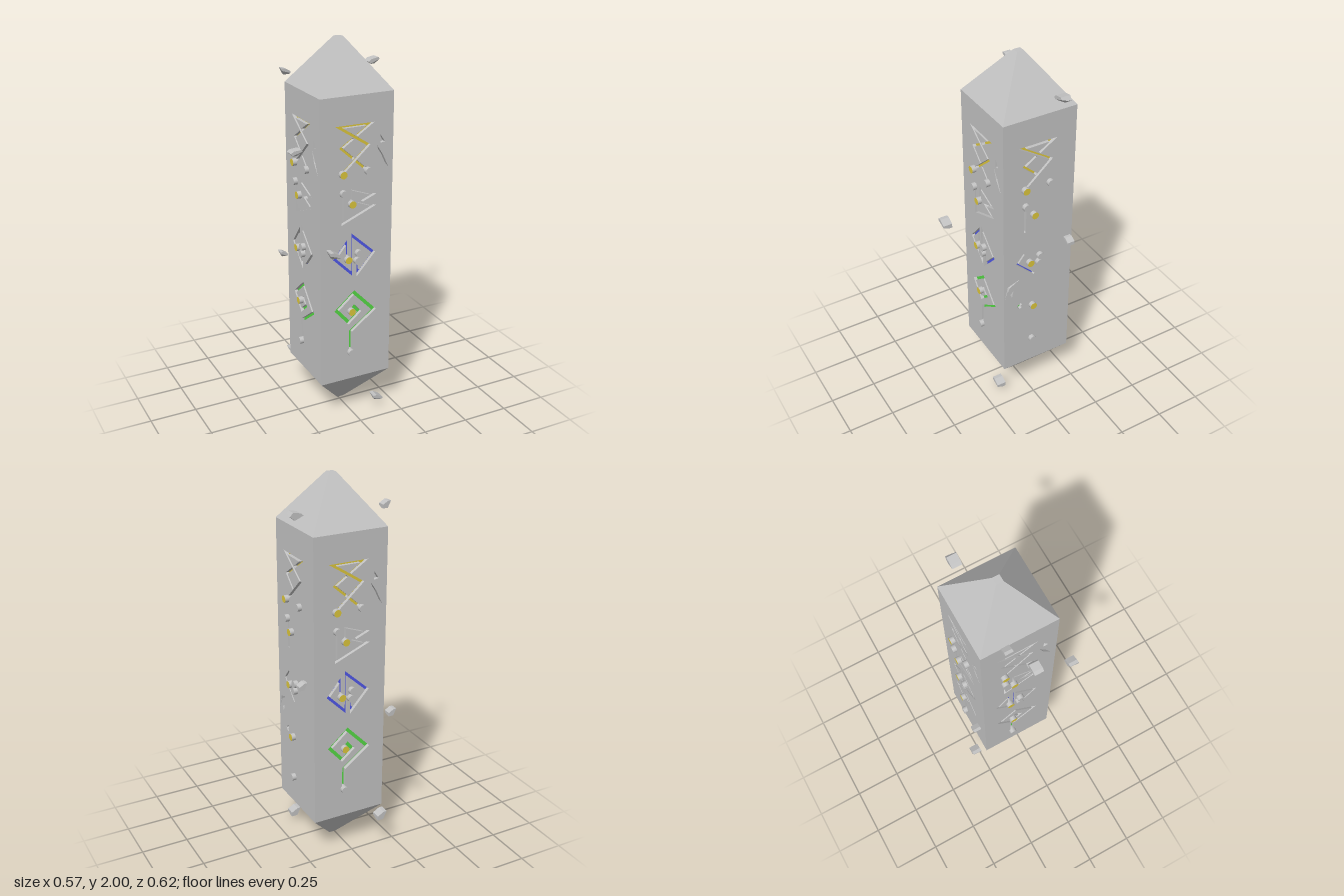
import * as THREE from 'three';
import { ConvexGeometry } from 'three/addons/geometries/ConvexGeometry.js';

const HALF = 0.2, DEPTH = 0.02, BOTTOM = 0.22, TOP = 1.755, CX = 0.012, CZ = -0.035;

const flat = (name, color) => {
  const m = new THREE.MeshStandardMaterial({ color });
  m.name = name;
  return m;
};

// Glyph strokes as open centre lines (x, y)
const zigzag = [
  [[-0.07, 1.37], [0.075, 1.5], [-0.085, 1.605], [0.085, 1.605], [0.0097, 1.5555]],
  [[-0.0097, 1.5427], [-0.075, 1.5], [-0.0067, 1.4388]],
];
const zigzagLeg = [[0.0067, 1.4268], [0.07, 1.37]];
const flag = [[-0.066, 1.27], [-0.066, 1.11], [0.105, 1.18], [0.03, 1.21], [0.105, 1.24], [-0.018, 1.285], [-0.018, 1.21]];
const diamond = [[-0.04, 0.915], [-0.04, 1.01], [-0.11, 0.925], [-0.01, 0.825], [-0.01, 1.035], [0.11, 0.925], [0.02, 0.825], [0.02, 0.94]];
const spiral = [[-0.02, 0.38], [-0.02, 0.5], [0.115, 0.6], [0, 0.72], [-0.1, 0.635], [-0.03, 0.555], [0.03, 0.605], [0, 0.64], [-0.02, 0.62]];

// Widens a centre line into a mitred outline
function stroke(points, halfWidth) {
  const p = points.map(([x, y]) => new THREE.Vector2(x - CX, y));
  const left = [], right = [];
  p.forEach((q, i) => {
    const before = (i ? q.clone().sub(p[i - 1]) : p[1].clone().sub(q)).normalize();
    const after = (i < p.length - 1 ? p[i + 1].clone().sub(q) : before.clone()).normalize();
    const n1 = new THREE.Vector2(-before.y, before.x);
    const n2 = new THREE.Vector2(-after.y, after.x);
    const miter = n1.clone().add(n2).normalize();
    miter.multiplyScalar(halfWidth / miter.dot(n1));
    left.push(q.clone().add(miter));
    right.push(q.clone().sub(miter));
  });
  return left.concat(right.reverse());
}

export function createModel() {
  const stone = flat('stone grey', 0xc2c2c2);
  const yellow = flat('yellow', 0xdcc63c);
  const blue = flat('blue', 0x5058e8);
  const green = flat('green', 0x55d845);

  const model = new THREE.Group();
  const pillar = new THREE.Group();
  pillar.name = 'pillar';
  pillar.position.set(CX, 0, CZ);
  model.add(pillar);

  const add = (parent, name, geometry, material) => {
    const mesh = new THREE.Mesh(geometry, material);
    mesh.name = name;
    parent.add(mesh);
    return mesh;
  };

  // Inner core forms the floor of every groove
  const inner = 2 * (HALF - DEPTH);
  add(pillar, 'core', new THREE.BoxGeometry(inner, TOP - BOTTOM, inner), stone).position.y = (TOP + BOTTOM) / 2;

  // Pointed ends
  const frustum = (name, topHalf, bottomHalf, y0, y1) => {
    const r = Math.SQRT2;
    const g = new THREE.CylinderGeometry(topHalf * r, bottomHalf * r, y1 - y0, 4).toNonIndexed();
    g.rotateY(Math.PI / 4);
    g.computeVertexNormals();
    add(pillar, name, g, stone).position.y = (y0 + y1) / 2;
  };
  frustum('topPoint', 0.018, HALF, TOP, 2);
  frustum('bottomPoint', HALF, 0.018, 0, BOTTOM);

  // Carved grooves: [centre line, floor colour, half width]
  const fullCarving = [
    ...zigzag.map((l) => [l, yellow, 0.0065]),
    [zigzagLeg, yellow, 0.0065],
    [flag, stone, 0.006],
    [diamond, blue, 0.007],
    [spiral, green, 0.009],
  ];
  const wornCarving = [
    ...zigzag.map((l) => [l, yellow, 0.0065]),
    [flag.slice(0, 2), stone, 0.006],
    [[[-0.07, 0.975], [-0.11, 0.925], [-0.01, 0.825]], blue, 0.005],
    [[[-0.085, 0.65], [-0.1, 0.635], [-0.088, 0.621]], green, 0.008],
  ];
  // Cracks in the stone
  const fullCracks = [
    [[0.122, 1.49], [0.155, 1.44], [0.188, 1.37], [0.142, 1.43]],
    [[0.14, 1.545], [0.165, 1.505], [0.14, 1.5]],
  ];
  const wornCracks = [
    [[-0.183, 0.716], [-0.165, 0.795], [-0.093, 0.82], [-0.155, 0.785]],
    [[-0.166, 0.77], [-0.132, 0.755], [-0.14, 0.715]],
  ];

  // Studs: [x, y, has a yellow face]
  const studs = [
    [-0.07, 1.37, true], [0.07, 1.37], [-0.065, 1.27], [-0.02, 1.21, true], [0.02, 0.94],
    [-0.04, 0.915, true], [0.013, 0.9], [-0.02, 0.62, true], [-0.02, 0.38],
  ];
  const studGeometry = new THREE.CylinderGeometry(0.019, 0.019, 0.042, 24).rotateX(Math.PI / 2);

  // Four carved sides, each turned a quarter; they interlock at the corners
  ['front', 'right', 'back', 'left'].forEach((sideName, i) => {
    const side = new THREE.Group();
    side.name = sideName + 'Side';
    side.rotation.y = i * Math.PI / 2;
    pillar.add(side);

    const worn = i === 1;
    const x1 = HALF - DEPTH;
    const panel = new THREE.Shape([
      new THREE.Vector2(-HALF, BOTTOM), new THREE.Vector2(x1, BOTTOM),
      new THREE.Vector2(x1, TOP), new THREE.Vector2(-HALF, TOP),
    ]);
    for (const [line, floor, halfWidth] of worn ? wornCarving : fullCarving) {
      const outline = stroke(line, halfWidth);
      panel.holes.push(new THREE.Path(outline));
      if (floor !== stone) {
        add(side, 'glyphFloor', new THREE.ShapeGeometry(new THREE.Shape(outline)), floor)
          .position.z = HALF - DEPTH + 0.002;
      }
    }
    for (const crack of worn ? wornCracks : fullCracks) {
      panel.holes.push(new THREE.Path(crack.map(([x, y]) => new THREE.Vector2(x - CX, y))));
    }
    add(side, 'carvedPanel', new THREE.ExtrudeGeometry(panel, { depth: DEPTH, bevelEnabled: false }), stone)
      .position.z = HALF - DEPTH;

    for (const [x, y, lit] of studs) {
      add(side, 'stud', studGeometry, lit ? [stone, yellow, stone] : stone).position.set(x - CX, y, HALF + 0.001);
    }
  });

  // Floating stone shards, cut away underneath at the front
  const shardGeometry = new ConvexGeometry([
    [-0.027, 0.022, -0.025], [-0.008, 0.022, -0.025], [0.027, 0.002, -0.025], [0.027, -0.022, -0.025], [-0.005, -0.022, -0.025],
    [-0.027, 0.022, 0.025], [-0.008, 0.022, 0.025], [0.027, 0.002, 0.025], [0.027, -0.01, 0.025], [-0.027, 0.008, 0.025],
    [0.027, -0.022, -0.005], [-0.005, -0.022, -0.005],
  ].map((p) => new THREE.Vector3(...p)));
  const shards = [
    [-0.178, 1.01, 0.286, 0, 1], [0.252, 1.84, -0.126, 0.7, 1], [0.257, 1.0, -0.19, 0, 0.8], [-0.195, 0.8, -0.29, 0, 0.8],
    [-0.148, 0.2, -0.288, 0, 1], [0.141, 0.06, 0.158, 0, 1], [-0.234, 1.835, -0.126, 0, 0.8], [-0.25, 1.465, 0.018, 0.6, 1],
  ];
  for (const [x, y, z, tilt, size] of shards) {
    const shard = add(model, 'shard', shardGeometry, stone);
    shard.position.set(x, y, z);
    shard.rotation.z = tilt;
    shard.scale.setScalar(size);
  }
  return model;
}
